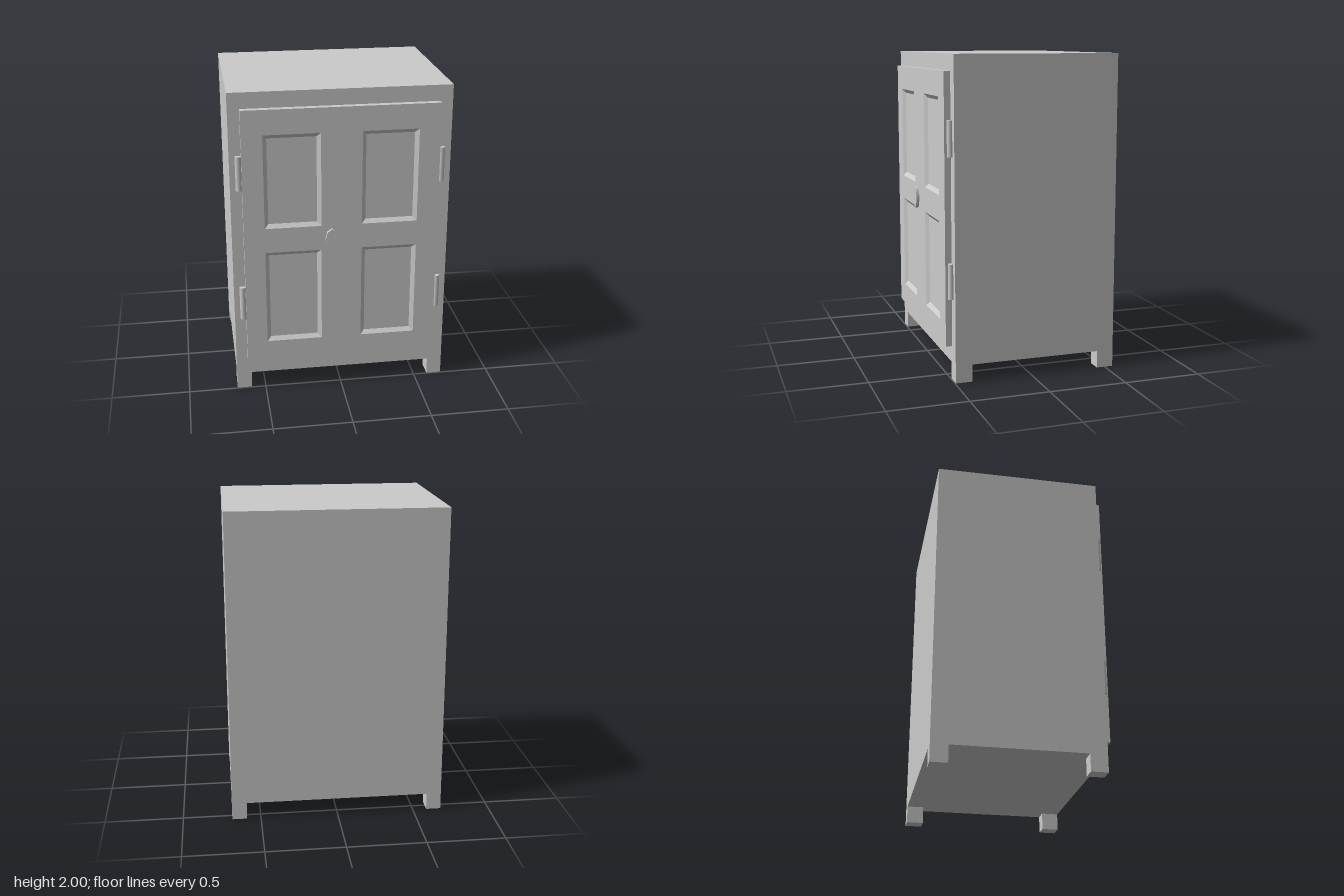
import * as THREE from 'three';

const material = new THREE.MeshStandardMaterial({ color: 0xcccccc });

function add(parent, name, geometry, x = 0, y = 0, z = 0) {
  const mesh = new THREE.Mesh(geometry, material);
  mesh.name = name;
  mesh.position.set(x, y, z);
  parent.add(mesh);
  return mesh;
}

// Corners of a rectangle, counter-clockwise seen from the front
function corners(x0, x1, y0, y1) {
  return [[x0, y0], [x1, y0], [x1, y1], [x0, y1]];
}

// Sunken panel: four sloping borders leading down to a flat field
function sunkenPanel(outer, inner, depth) {
  const pos = [];
  const quad = (...p) => [0, 1, 2, 0, 2, 3].forEach((i) => pos.push(...p[i]));
  for (let i = 0; i < 4; i++) {
    const j = (i + 1) % 4;
    quad([...outer[i], 0], [...outer[j], 0], [...inner[j], -depth], [...inner[i], -depth]);
  }
  quad(...inner.map((p) => [...p, -depth]));
  const geometry = new THREE.BufferGeometry();
  geometry.setAttribute('position', new THREE.Float32BufferAttribute(pos, 3));
  geometry.computeVertexNormals();
  return geometry;
}

export function createModel() {
  const cabinet = new THREE.Group();
  cabinet.name = 'cabinet';

  const halfW = 0.685, back = -0.555, front = 0.495, base = 0.11;

  // Case
  add(cabinet, 'case', new THREE.BoxGeometry(halfW * 2, 2 - base, front - back),
    0, (2 + base) / 2, (front + back) / 2);

  // Feet, flush with the corners of the case
  const footW = 0.095, footD = 0.108;
  for (const side of [-1, 1]) {
    for (const z of [back + footD / 2, front - footD / 2]) {
      add(cabinet, 'foot', new THREE.BoxGeometry(footW, base, footD),
        side * (halfW - footW / 2), base / 2, z);
    }
  }

  // Door with four panel openings
  const door = new THREE.Group();
  door.name = 'door';
  cabinet.add(door);
  const thickness = 0.04, slope = 0.025;
  const toPoints = (list) => list.map(([x, y]) => new THREE.Vector2(x, y));
  const outline = new THREE.Shape(toPoints(corners(-0.613, 0.608, 0.215, 1.9)));
  for (const [x0, x1] of [[-0.458, -0.155], [0.15, 0.45]]) {
    for (const [y0, y1] of [[0.38, 0.953], [1.165, 1.718]]) {
      const outer = corners(x0 - slope, x1 + slope, y0 - slope, y1 + slope);
      outline.holes.push(new THREE.Path(toPoints(outer)));
      add(door, 'doorPanel', sunkenPanel(outer, corners(x0, x1, y0, y1), 0.02),
        0, 0, front + thickness);
    }
  }
  add(door, 'doorFrame',
    new THREE.ExtrudeGeometry(outline, { depth: thickness, bevelEnabled: false }), 0, 0, front);

  // Oval knob with eight sides
  const knob = new THREE.CylinderGeometry(1, 1, 0.02, 8);
  knob.rotateX(Math.PI / 2);
  knob.scale(0.041, 0.073, 1);
  add(door, 'knob', knob, -0.065, 1.048, front + thickness + 0.01);

  // Hinge barrels on both edges of the door
  for (const x of [-0.63, 0.626]) {
    for (const y of [0.628, 1.5]) {
      add(cabinet, 'hinge', new THREE.CylinderGeometry(0.02, 0.02, 0.22, 12), x, y, 0.504);
    }
  }

  return cabinet;
}
